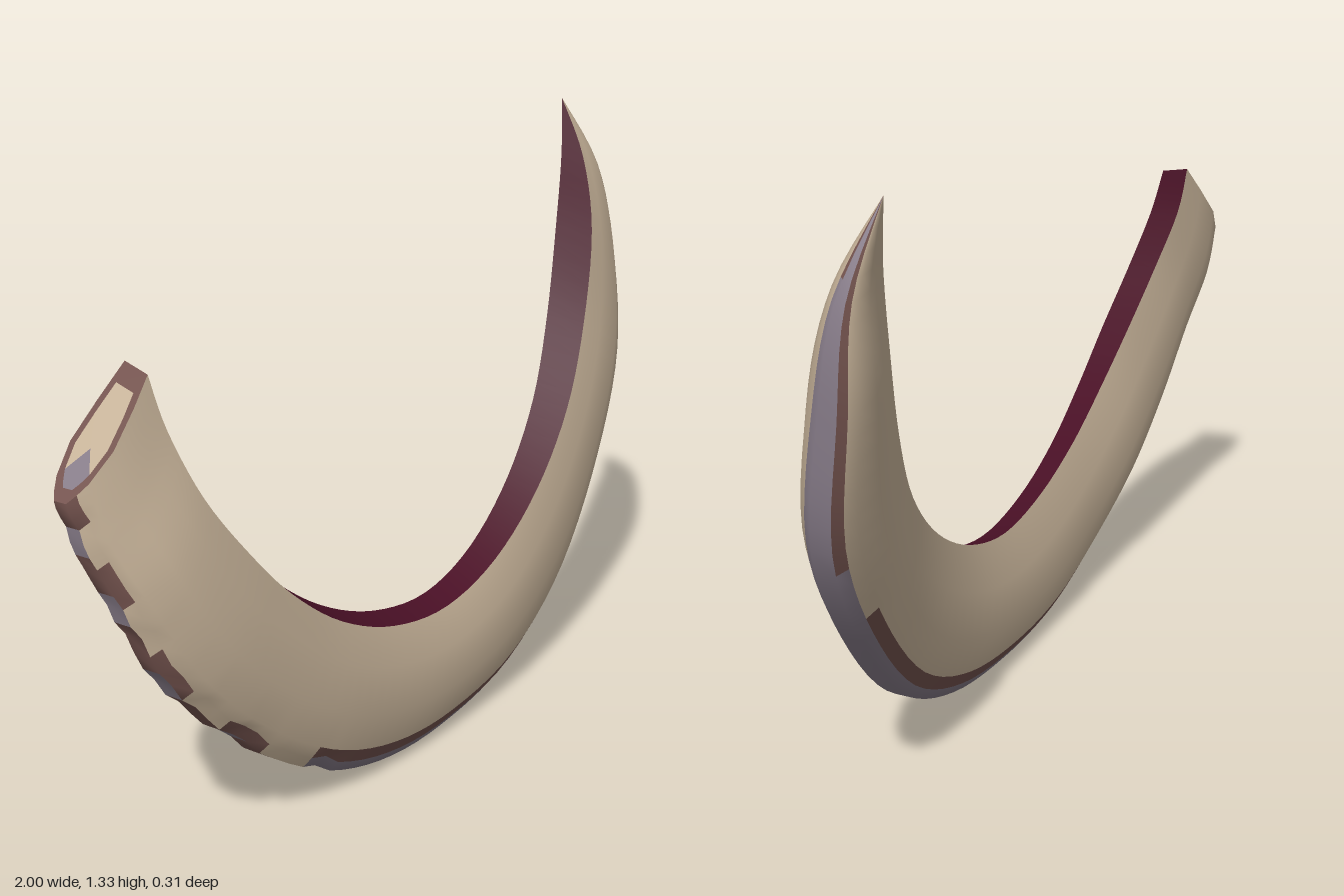
import * as THREE from 'three';

// Stations from the broken end to the tip:
// inner x, inner y, outer x, outer y, inner z, outer z, inner half width, half thickness
const STATIONS = [
  [-0.80, 1.04, -1.00, 0.82, -0.04, -0.06, 0.035, 0.055],
  [-0.78, 0.93, -0.98, 0.70, -0.02, -0.04, 0.040, 0.065],
  [-0.73, 0.79, -0.92, 0.56, 0.02, 0.00, 0.040, 0.075],
  [-0.64, 0.66, -0.82, 0.38, 0.05, 0.03, 0.040, 0.078],
  [-0.53, 0.54, -0.66, 0.22, 0.07, 0.05, 0.036, 0.078],
  [-0.38, 0.43, -0.46, 0.09, 0.08, 0.075, 0.032, 0.076],
  [-0.20, 0.355, -0.24, 0.02, 0.085, 0.08, 0.030, 0.075],
  [0.00, 0.33, 0.00, 0.01, 0.085, 0.08, 0.030, 0.075],
  [0.20, 0.38, 0.28, 0.055, 0.08, 0.07, 0.034, 0.077],
  [0.40, 0.49, 0.56, 0.19, 0.06, 0.04, 0.040, 0.078],
  [0.57, 0.64, 0.80, 0.43, 0.03, 0.00, 0.046, 0.080],
  [0.70, 0.82, 0.96, 0.68, -0.01, -0.04, 0.050, 0.080],
  [0.80, 1.03, 1.00, 0.95, -0.05, -0.085, 0.050, 0.070],
  [0.86, 1.20, 0.985, 1.16, -0.095, -0.11, 0.030, 0.038],
  [0.905, 1.335, 0.905, 1.335, -0.155, -0.155, 0, 0],
];

// Cross-section: position from inner to outer edge, offset in half thicknesses
// (null means the inner half width, with its sign in the third slot)
const SECTION = [
  [0.06, null, 1], [0.3, 0.85], [0.6, 1], [0.84, 0.75], [0.93, 0.52], [1, 0.28],
  [1, -0.28], [0.93, -0.52], [0.84, -0.75], [0.6, -1], [0.3, -0.85], [0, null, -1],
];
const ROWS = 70;
const N = SECTION.length;

function seeded(seed) {
  return () => (seed = (seed * 16807) % 2147483647) / 2147483647;
}

// Smoothly interpolated cross-sections
function makeRings() {
  const rand = seeded(41);
  const columns = STATIONS[0].map((_, c) =>
    new THREE.SplineCurve(STATIONS.map((row, i) => new THREE.Vector2(i, row[c]))));
  const rings = [];
  for (let r = 0; r <= ROWS; r++) {
    const t = r / ROWS;
    const [ix, iy, ox, oy, zi, zo, w, h] = columns.map((c) => c.getPoint(t).y);
    // chipped outer edge near the broken end
    const chip = t > 0.01 && t < 0.36 ? rand() * 0.05 : 0;
    rings.push(SECTION.map(([s, k, sign]) => {
      const q = s > 0.9 ? s - chip : s;
      const z = zi + (zo - zi) * q + (k === null ? sign * w : k * h);
      return new THREE.Vector3(ix + (ox - ix) * q, iy + (oy - iy) * q, z);
    }));
  }
  return rings;
}

// Which part a cell of the skin belongs to
function partOf(k, r) {
  const t = r / ROWS;
  if (k === N - 1) return 'innerChannel';
  const broken = t < 0.34;
  if (k === 5) return broken && r % 5 < 3 ? 'edgeBorder' : 'outerEdge';
  if (k === 4 || k === 6) {
    if (broken) return r % 6 < 3 ? 'edgeBorder' : 'sides';
    return t > 0.93 ? 'edgeBorder' : k === 6 && t > 0.76 ? 'edgeBorder' : 'outerEdge';
  }
  if (k === 3) return t > 0.33 && t < 0.75 ? 'edgeBorder' : 'sides';
  if (k === 7) return t > 0.33 && t < 0.72 ? 'edgeBorder' : 'sides';
  return 'sides';
}

function meshFrom(name, points, index, material) {
  const g = new THREE.BufferGeometry().setFromPoints(points);
  g.setIndex(index);
  g.computeVertexNormals();
  const mesh = new THREE.Mesh(g, material);
  mesh.name = name;
  return mesh;
}

export function createModel() {
  const mat = (name, color) => {
    const m = new THREE.MeshStandardMaterial({ color, side: THREE.DoubleSide });
    m.name = name;
    return m;
  };
  const tan = mat('tan', 0xc8b49a);
  const maroon = mat('maroon', 0x4a1026);
  const mauve = mat('mauveGrey', 0x887d8a);
  const brown = mat('brown', 0x75544f);

  const group = new THREE.Group();
  group.name = 'curvedBlade';
  const rings = makeRings();

  // Long skin, one mesh for each colour
  const parts = { sides: [], innerChannel: [], outerEdge: [], edgeBorder: [] };
  for (let r = 0; r < ROWS; r++) {
    for (let k = 0; k < N; k++) {
      const a = r * N + k;
      const b = r * N + ((k + 1) % N);
      parts[partOf(k, r)].push(a, b, a + N, b, b + N, a + N);
    }
  }
  const skin = { sides: tan, innerChannel: maroon, outerEdge: mauve, edgeBorder: brown };
  for (const name in parts) group.add(meshFrom(name, rings.flat(), parts[name], skin[name]));

  // Broken end: brown rim around a tan core with a grey outer portion
  const rim = rings[0];
  const centre = rim.reduce((sum, p) => sum.add(p), new THREE.Vector3()).divideScalar(N);
  const core = rim.map((p) => p.clone().lerp(centre, 0.25));
  const capPoints = [...rim, ...core, centre];
  const rimIndex = [];
  const tanIndex = [];
  const greyIndex = [];
  for (let k = 0; k < N; k++) {
    const n = (k + 1) % N;
    rimIndex.push(k, N + k, n, n, N + k, N + n);
    (k >= 3 && k <= 7 ? greyIndex : tanIndex).push(N + k, 2 * N, N + n);
  }
  group.add(
    meshFrom('brokenEndRim', capPoints, rimIndex, brown),
    meshFrom('brokenEndCore', capPoints, tanIndex, tan),
    meshFrom('brokenEndOuterCore', capPoints, greyIndex, mauve),
  );
  return group;
}
